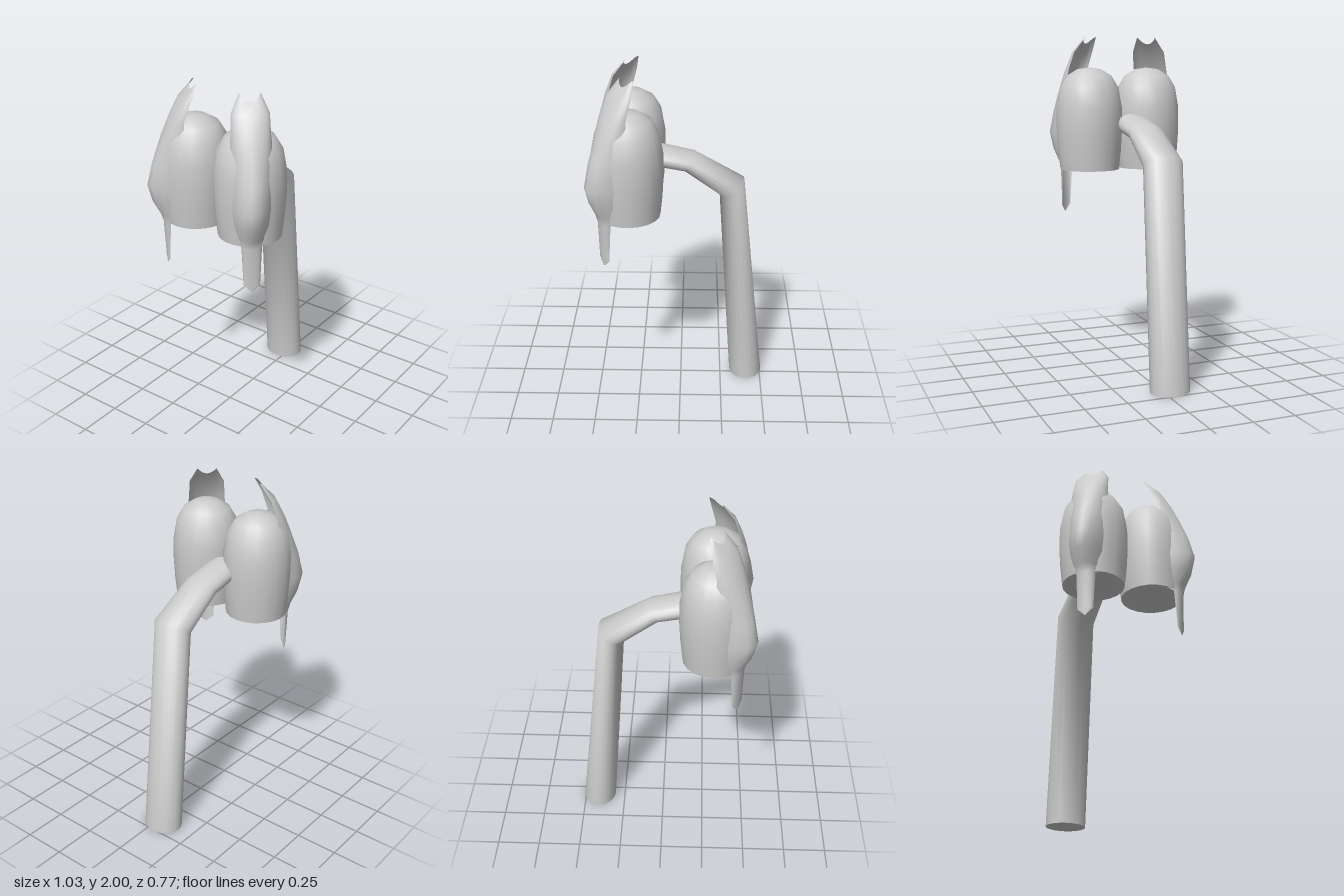
import * as THREE from 'three';
import { toCreasedNormals } from 'three/addons/utils/BufferGeometryUtils.js';

const material = new THREE.MeshStandardMaterial({ color: 0xcccccc, side: THREE.DoubleSide });
const CREASE = 1.25;

// Skin a list of equally long cross-sections (arrays of Vector3)
function loft(sections) {
  const n = sections[0].length;
  const index = [];
  for (let i = 0; i < sections.length - 1; i++) {
    for (let j = 0; j < n - 1; j++) {
      const a = i * n + j, b = a + 1, c = a + n, d = c + 1;
      index.push(a, c, b, b, c, d);
    }
  }
  const geometry = new THREE.BufferGeometry().setFromPoints(sections.flat());
  geometry.setIndex(index);
  geometry.computeVertexNormals();
  return geometry;
}

function part(name, geometry) {
  const mesh = new THREE.Mesh(geometry, material);
  mesh.name = name;
  return mesh;
}

// Bent stalk: each ring is given by its inner and outer edge and its half depth
function createStem() {
  const rings = [
    [0.41, 0, 0.41, 0, 0], // closes the foot
    [0.31, 0, 0.51, 0, 0.117],
    [0.225, 1.24, 0.367, 1.33, 0.117],
    [0.02, 1.39, 0.08, 1.49, 0.107],
    [-0.1, 1.41, -0.09, 1.53, 0.106],
    [-0.18, 1.43, -0.17, 1.545, 0.09],
  ];
  const sides = 20;
  const sections = rings.map(([x0, y0, x1, y1, depth]) =>
    Array.from({ length: sides + 1 }, (_, j) => {
      const a = -(j % sides) / sides * Math.PI * 2;
      const t = (1 + Math.cos(a)) / 2;
      return new THREE.Vector3(
        x0 + (x1 - x0) * t, y0 + (y1 - y0) * t, -0.042 + depth * Math.sin(a));
    }));
  return part('stem', toCreasedNormals(loft(sections), CREASE));
}

// Bell with a domed top and a shallow recessed underside
function createBell() {
  const profile = [
    [0, 1.225], [0.15, 1.225], [0.178, 1.21], [0.19, 1.32], [0.198, 1.45], [0.197, 1.58],
    [0.176, 1.7], [0.135, 1.77], [0.07, 1.81], [0, 1.82],
  ].map(([r, y]) => new THREE.Vector2(r, y));
  return part('bell', toCreasedNormals(new THREE.LatheGeometry(profile, 20), CREASE));
}

// Curved petal along +x: height, distance from axis, half width, curl depth
function createPetal() {
  const rows = [
    [0.94, 0.18, 0.004, 0],
    [0.98, 0.183, 0.045, 0.01],
    [1.2, 0.193, 0.055, 0.03],
    [1.25, 0.208, 0.09, 0.12],
    [1.33, 0.25, 0.13, 0.28],
    [1.43, 0.276, 0.14, 0.33],
    [1.56, 0.243, 0.135, 0.25],
    [1.7, 0.188, 0.118, 0.11],
    [1.8, 0.145, 0.105, 0.065],
    [1.91, 0.085, 0.1, 0.045],
    [1.96, 0.025, 0.056, 0.04],
  ];
  const steps = 10;
  const sections = rows.map(([y, d, w, curl], i) =>
    Array.from({ length: steps + 1 }, (_, j) => {
      const a = (j / steps - 0.5) * Math.PI;
      // the lip rises at both corners
      const lift = i === rows.length - 1 ? 0.04 * Math.sin(a) ** 2 : 0;
      return new THREE.Vector3(d - curl * (1 - Math.cos(a)), y + lift, w * Math.sin(a));
    }));
  return part('petal', loft(sections));
}

export function createModel() {
  const model = new THREE.Group();
  model.name = 'bellFlower';
  model.add(createStem());

  // Two blossoms side by side, petals turned outward
  for (const side of [1, -1]) {
    const blossom = new THREE.Group();
    blossom.name = side > 0 ? 'frontBlossom' : 'backBlossom';
    blossom.add(createBell(), createPetal());
    blossom.position.set(-0.289, 0, side * 0.186);
    blossom.rotation.y = -side * (Math.PI - 0.68);
    model.add(blossom);
  }
  return model;
}
